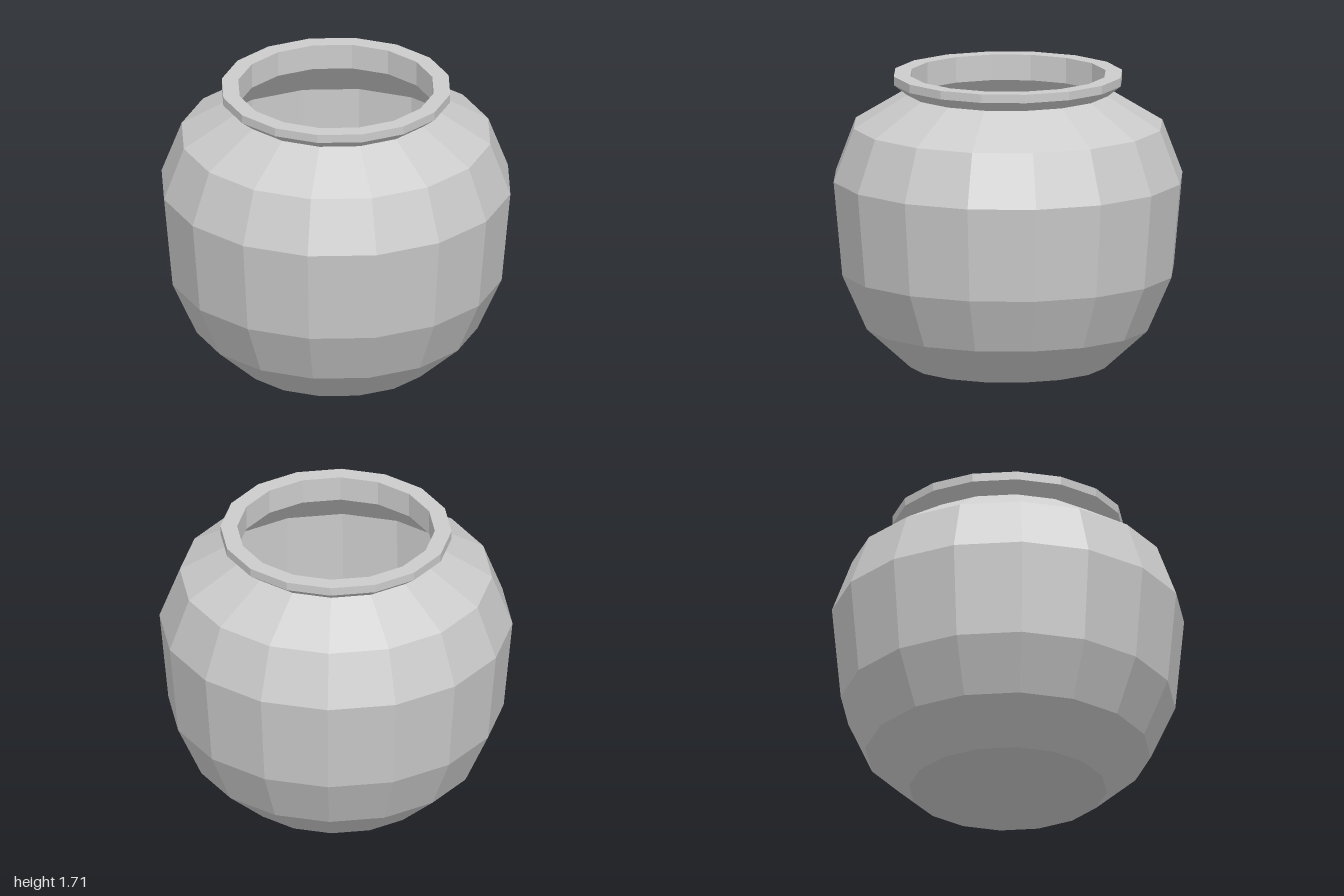
import * as THREE from 'three';

const SIDES = 16;

// Faceted ring of revolution; profile widths are measured to the flat sides
function turned(name, profile, material) {
  const k = 1 / Math.cos(Math.PI / SIDES);
  const points = profile.map(([r, y]) => new THREE.Vector2(r * k, y));
  const mesh = new THREE.Mesh(new THREE.LatheGeometry(points, SIDES, Math.PI / SIDES), material);
  mesh.name = name;
  return mesh;
}

export function createModel() {
  const group = new THREE.Group();
  group.name = 'pot';
  const clay = new THREE.MeshStandardMaterial({ color: 0xcccccc, flatShading: true });

  // Base, belly and shoulder
  group.add(turned('body', [
    [0, 0], [0.56, 0], [0.81, 0.23], [0.95, 0.55], [1, 1.1], [0.885, 1.41], [0.58, 1.6],
  ], clay));

  // Flared lip with a straight bore
  group.add(turned('rim', [
    [0.58, 1.6], [0.655, 1.66], [0.655, 1.71], [0.56, 1.71], [0.56, 1.56],
  ], clay));

  // Hollow inside, down to the floor
  group.add(turned('interior', [
    [0.56, 1.56], [0.81, 1.31], [0.83, 0.57], [0.72, 0.28], [0.56, 0.1], [0, 0.1],
  ], clay));

  return group;
}
